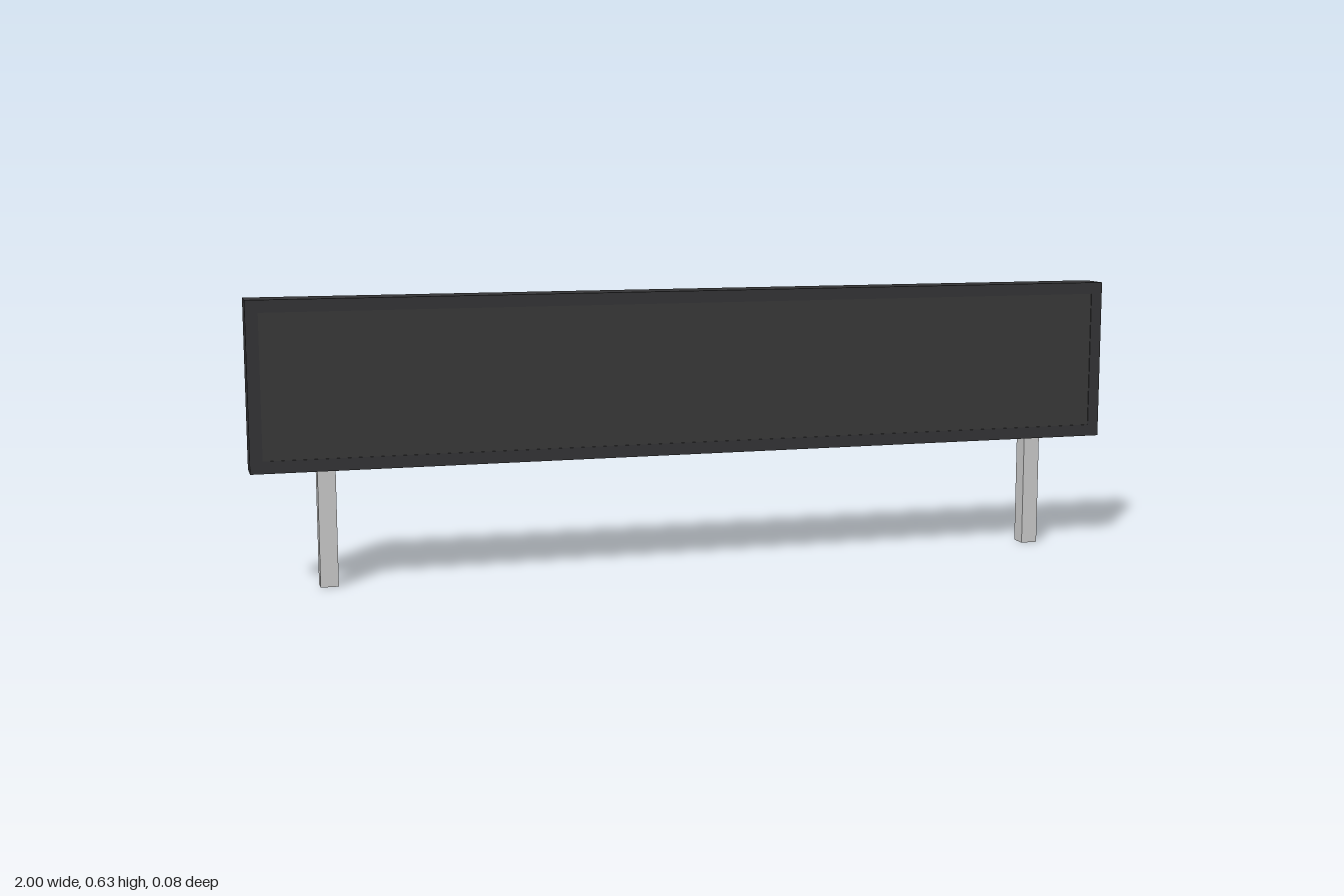
import * as THREE from 'three';

const W = 2, H = 0.37, D = 0.079, BASE = 0.26; // panel size and height of its underside
const BORDER = 0.027, RECESS = 0.003;

function rectangle(PathType, w, h) {
  const p = new PathType();
  p.moveTo(-w / 2, -h / 2);
  p.lineTo(w / 2, -h / 2);
  p.lineTo(w / 2, h / 2);
  p.lineTo(-w / 2, h / 2);
  p.closePath();
  return p;
}

export function createModel() {
  const group = new THREE.Group();
  const casingMat = new THREE.MeshStandardMaterial({ color: 0x343436 });
  const faceMat = new THREE.MeshStandardMaterial({ color: 0x393939 });
  const postMat = new THREE.MeshStandardMaterial({ color: 0xcccccc });

  function add(name, geometry, material, x, y, z) {
    const mesh = new THREE.Mesh(geometry, material);
    mesh.name = name;
    mesh.position.set(x, y, z);
    group.add(mesh);
  }

  const midY = BASE + H / 2;

  // Solid casing behind the display face
  add('casing', new THREE.BoxGeometry(W, H, D - RECESS), casingMat, 0, midY, -RECESS / 2);

  // Thin raised border around the front
  const border = rectangle(THREE.Shape, W, H);
  border.holes.push(rectangle(THREE.Path, W - 2 * BORDER, H - 2 * BORDER));
  add('frontBorder', new THREE.ExtrudeGeometry(border, { depth: RECESS, bevelEnabled: false }),
    casingMat, 0, midY, D / 2 - RECESS);

  // Display face, set just inside the border
  add('displayFace', new THREE.BoxGeometry(W - 2 * BORDER, H - 2 * BORDER, 0.001),
    faceMat, 0, midY, D / 2 - RECESS + 0.0005);

  // Square posts, slightly behind the middle of the panel
  for (const [name, side] of [['leftPost', 1], ['rightPost', -1]]) {
    add(name, new THREE.BoxGeometry(0.039, BASE, 0.039), postMat, side * 0.838, BASE / 2, -0.007);
  }

  return group;
}
